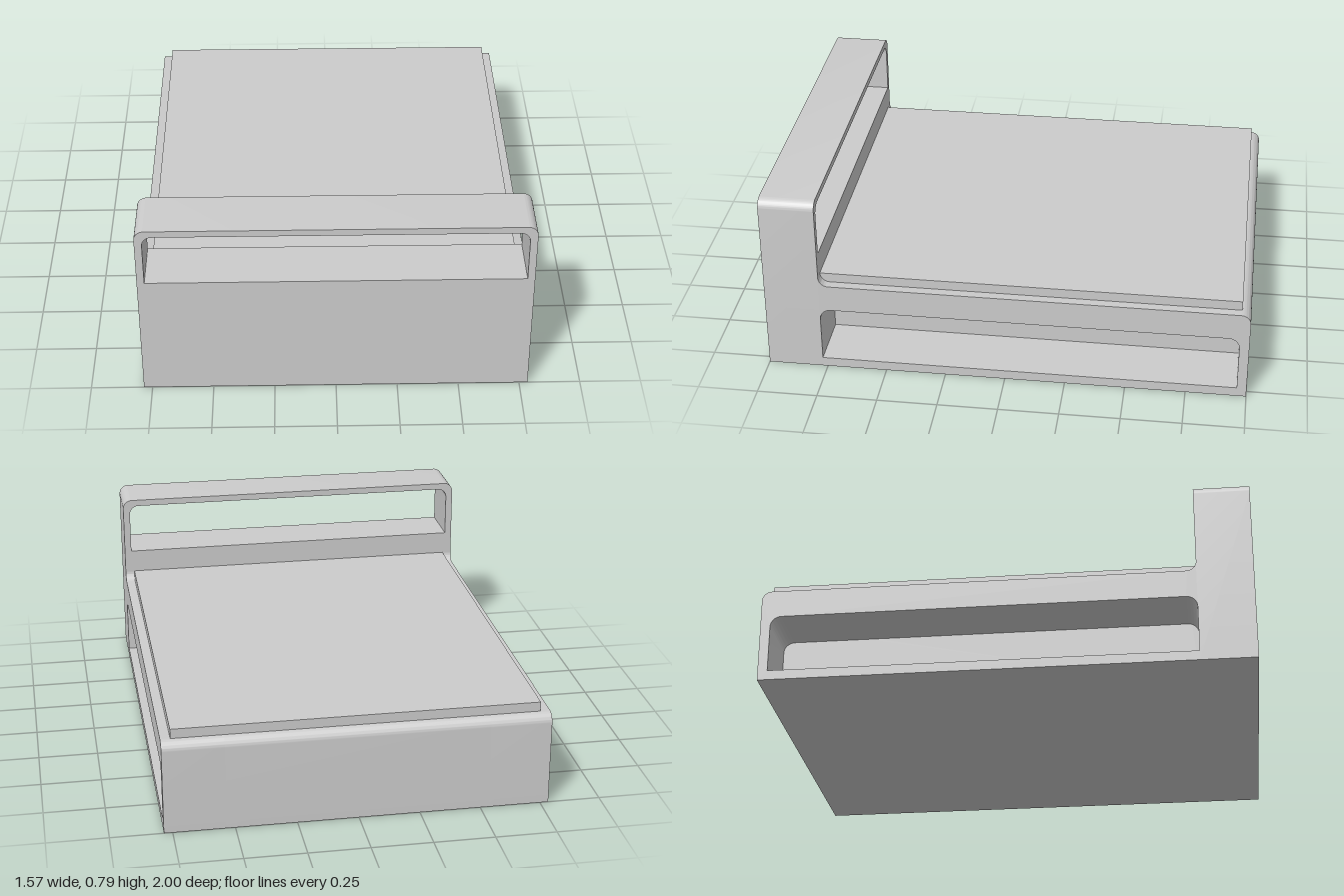
import * as THREE from 'three';
import { toCreasedNormals } from 'three/addons/utils/BufferGeometryUtils.js';

const HALF_W = 0.785;   // half width of the bed
const BASE_H = 0.395;   // height of the base deck
const HEAD_Z = 0.77;    // back face of the headboard
const RECESS = 0.25;    // depth of the side shelves

const material = new THREE.MeshStandardMaterial({ color: 0xcccccc });

function extrude(shape, depth) {
  const geo = new THREE.ExtrudeGeometry(shape, { depth, bevelEnabled: false, curveSegments: 10 });
  return toCreasedNormals(geo, 0.5);
}

function addMesh(group, name, geometry) {
  const mesh = new THREE.Mesh(geometry, material);
  mesh.name = name;
  group.add(mesh);
}

// Upright outline with rounded top corners
function archOutline(path, x0, x1, y0, y1, r) {
  path.moveTo(x0, y0);
  path.lineTo(x1, y0);
  path.lineTo(x1, y1 - r);
  path.absarc(x1 - r, y1 - r, r, 0, Math.PI / 2, false);
  path.lineTo(x0 + r, y1);
  path.absarc(x0 + r, y1 - r, r, Math.PI / 2, Math.PI, false);
  path.lineTo(x0, y0);
  return path;
}

// Side profile of the base (z, y), optionally notched by the shelf recess
function baseProfile(withRecess) {
  const s = new THREE.Shape();
  s.moveTo(-1, 0);
  s.lineTo(HEAD_Z, 0);
  if (withRecess) {
    const back = -0.96, low = 0.04, high = 0.28, r = 0.045;
    s.lineTo(HEAD_Z, low);
    s.lineTo(back, low);
    s.lineTo(back, high - r);
    s.absarc(back + r, high - r, r, Math.PI, Math.PI / 2, true);
    s.lineTo(HEAD_Z - r, high);
    s.absarc(HEAD_Z - r, high - r, r, Math.PI / 2, 0.02, true);
    s.lineTo(HEAD_Z, high - r);
  }
  // fillet up to the headboard, then the rounded foot edge
  const f = 0.04;
  s.lineTo(HEAD_Z, BASE_H + f);
  s.absarc(HEAD_Z - f, BASE_H + f, f, 0, -Math.PI / 2, true);
  s.lineTo(-1 + f, BASE_H);
  s.absarc(-1 + f, BASE_H - f, f, Math.PI / 2, Math.PI, false);
  s.lineTo(-1, 0);
  return s;
}

// Extrudes a side profile between two x positions
function crosswise(shape, x0, x1) {
  return extrude(shape, x1 - x0).rotateY(-Math.PI / 2).translate(x1, 0, 0);
}

export function createModel() {
  const bed = new THREE.Group();
  bed.name = 'bed';

  // Base: solid core with a shelf-notched slab on each side
  const inner = HALF_W - RECESS;
  addMesh(bed, 'baseCore', crosswise(baseProfile(false), -inner, inner));
  addMesh(bed, 'leftShelfSide', crosswise(baseProfile(true), inner, HALF_W));
  addMesh(bed, 'rightShelfSide', crosswise(baseProfile(true), -HALF_W, -inner));

  // Headboard with a long window under its top rail
  const head = archOutline(new THREE.Shape(), -HALF_W, HALF_W, 0, 0.785, 0.04);
  head.holes.push(archOutline(new THREE.Path(), -0.755, 0.755, 0.535, 0.757, 0.04));
  addMesh(bed, 'headboard', extrude(head, 1 - HEAD_Z).translate(0, 0, HEAD_Z));

  // Thin mattress on the deck
  const length = HEAD_Z + 0.963;
  const mattress = new THREE.BoxGeometry(1.49, 0.04, length);
  mattress.translate(0, BASE_H + 0.02, HEAD_Z - length / 2);
  addMesh(bed, 'mattress', mattress);

  return bed;
}
